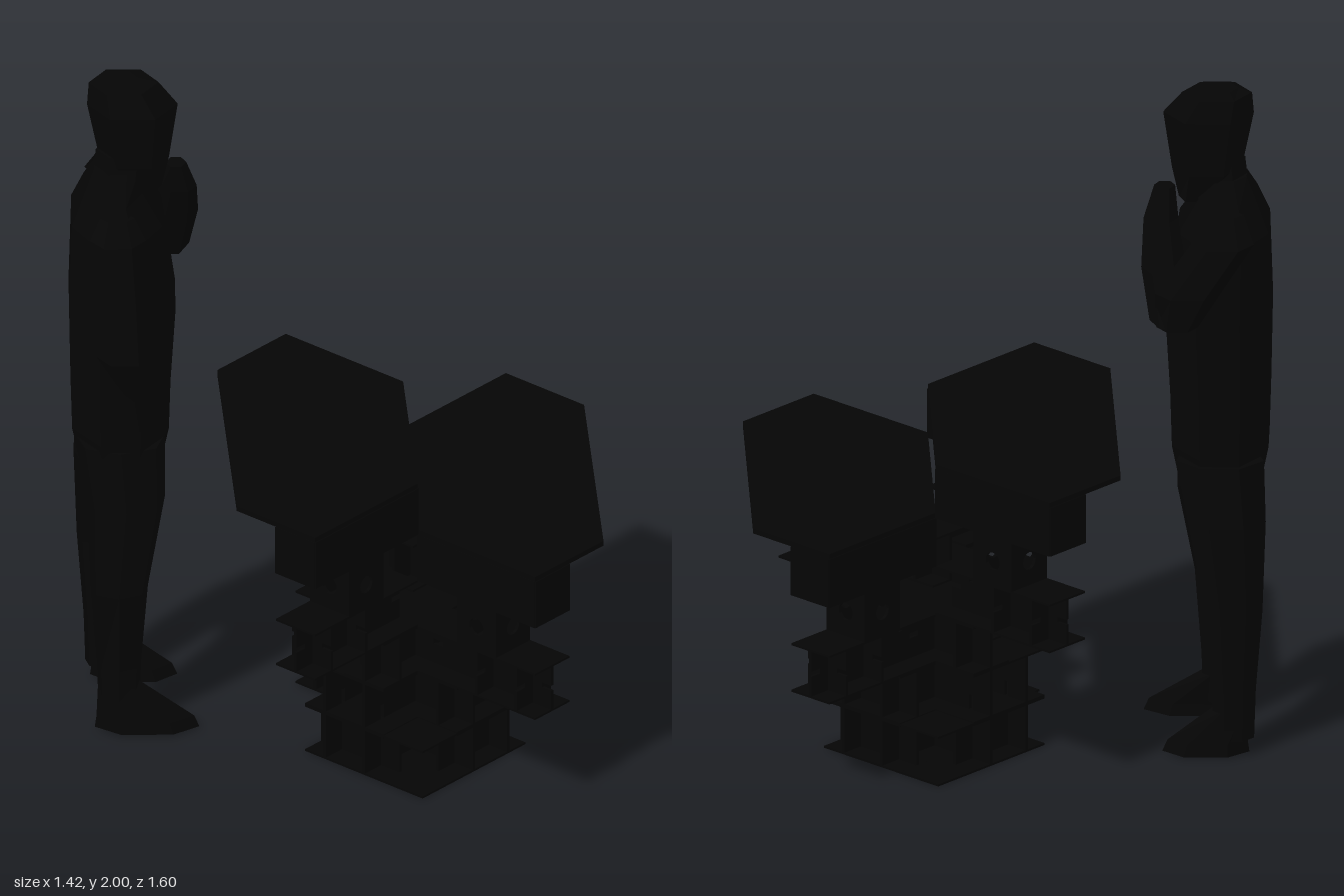
import * as THREE from 'three';

const U = 0.149, T = 0.01;             // grid cell and board thickness
const AXIS = [0.037, 0.13];            // x, z of the table's turning axis
const mat = new THREE.MeshStandardMaterial({ color: 0x050505, flatShading: true, side: THREE.DoubleSide });

function add(parent, name, geo, x = 0, y = 0, z = 0) {
  const m = new THREE.Mesh(geo, mat);
  m.name = name;
  m.position.set(x, y, z);
  parent.add(m);
  return m;
}
const box = (w, h, d) => new THREE.BoxGeometry(w, h, d);

// Upright board of one cell height, with optional end slots, notches or a round hole
function uprightBoard(len, { slots, topNotch, lowNotch, hole } = {}) {
  const h = U / 2, s = new THREE.Shape(), g = 0.008, d = 0.035;
  const p = [[0, -h]];
  if (lowNotch) p.push([lowNotch - g, -h], [lowNotch - g, -h + 0.05], [lowNotch + g, -h + 0.05], [lowNotch + g, -h]);
  p.push([len, -h]);
  if (slots) p.push([len, -g], [len - d, -g], [len - d, g], [len, g]);
  p.push([len, h]);
  if (topNotch) p.push([topNotch + g, h], [topNotch + g, h - 0.05], [topNotch - g, h - 0.05], [topNotch - g, h]);
  p.push([0, h]);
  if (slots) p.push([0, g], [d, g], [d, -g], [0, -g]);
  s.setFromPoints(p.map(q => new THREE.Vector2(...q)));
  if (hole) s.holes.push(new THREE.Path().absarc(len / 2, 0, 0.027, 0, Math.PI * 2, true));
  const geo = new THREE.ExtrudeGeometry(s, { depth: T, bevelEnabled: false, curveSegments: 8 });
  return geo.translate(0, 0, -T / 2);
}

// Beam running outward from cell a to cell b: crossed boards between a bottom and a top plate
function beam(parent, name, angle, row, a, b, level, opt = {}) {
  const g = new THREE.Group();
  g.name = name;
  g.rotation.y = angle;
  parent.add(g);
  const x0 = (a - 0.5) * U, len = (b - a + 1) * U, y = (level + 0.5) * U, z = row * U;
  add(g, 'longBoard', uprightBoard(len, opt), x0, y, z);
  if (!opt.noPlate) for (const s of [-1, 1])
    add(g, 'plate', box(len, 0.006, U), x0 + len / 2, y + s * (U / 2 - 0.003), z);
  for (let i = a; i <= b; i++) {
    if ((opt.topNotch && i === a) || (opt.lowNotch && i === b)) continue;
    add(g, 'crossBoard', uprightBoard(U, { slots: opt.slots }).rotateY(Math.PI / 2), i * U, y, z + U / 2);
  }
}

// Each side has two arms, mirrored across the short diagonal
const ARMS = [[Math.PI, -1], [Math.PI / 2, 1]];

// Hollow square post with a round opening in each wall
function post(parent, x, z, level) {
  const g = new THREE.Group();
  g.name = 'post';
  g.position.set(x * U, (level + 0.5) * U, z * U);
  for (let i = 0; i < 4; i++)
    add(g, 'wall', uprightBoard(U, { hole: true }).translate(-U / 2, 0, U / 2 - T / 2)).rotation.y = i * Math.PI / 2;
  parent.add(g);
}

// Tabletop with partial skirts, bracket beams and posts
function tableUnit() {
  const g = new THREE.Group();
  const hex = [[-4.5, -0.5], [-0.5, -4.5], [1.5, -4.5], [1.5, -1.5], [-1.5, 1.5], [-4.5, 1.5]];
  const shape = new THREE.Shape(hex.map(([x, z]) => new THREE.Vector2(x * U, -z * U)));
  add(g, 'tabletop', new THREE.ExtrudeGeometry(shape, { depth: 0.015, bevelEnabled: false }).rotateX(-Math.PI / 2), 0, 6 * U);
  const skirts = [
    [[-4.5, 0.5], [-4.5, 1.5], [-1.5, 1.5], [-1.5, 0.5]],
    [[0.5, -1.5], [1.5, -1.5], [1.5, -4.5], [0.5, -4.5]]];
  for (const path of skirts) for (let i = 0; i < 3; i++) {
    const [[ax, az], [bx, bz]] = [path[i], path[i + 1]];
    const geo = box((Math.abs(bx - ax) || 0.04) * U, U, (Math.abs(bz - az) || 0.04) * U);
    add(g, 'skirt', geo, (ax + bx) / 2 * U, 5.5 * U, (az + bz) / 2 * U);
  }
  for (const [angle, row] of ARMS) {
    beam(g, 'topBeam', angle, row, 2, 4, 5, { noPlate: true });
    beam(g, 'bracketBeam', angle, row, 2, 4, 3, { slots: true, topNotch: U / 2 });
  }
  post(g, -3, 1, 4);
  post(g, 1, -3, 4);
  return g;
}

// Half of the stacked base
function baseHalf(lowNotch) {
  const g = new THREE.Group();
  for (const [angle, row] of ARMS) {
    for (const r of [0, row]) {
      beam(g, 'footBeam', angle, r, 0, 2, 0);
      beam(g, 'middleBeam', angle, r, 0, 2, 1, { lowNotch });
      beam(g, 'upperBeam', angle, r, 0, 1, 2);
    }
  }
  for (const y of [0.02, 1]) add(g, 'cornerPlate', box(U, 0.006, U), -2 * U, y * U, 2 * U);
  return g;
}

// Faceted body from rings [x, y, z, radiusX, radiusZ], listed upward
function loft(rings, n = 7) {
  const all = [[...rings[0].slice(0, 3), 0, 0], ...rings, [...rings.at(-1).slice(0, 3), 0, 0]];
  const pos = [], idx = [];
  all.forEach(([x, y, z, rx, rz], j) => {
    for (let i = 0; i < n; i++) {
      const t = (i + 0.5) / n * Math.PI * 2;
      pos.push(x + rx * Math.cos(t), y, z + rz * Math.sin(t));
      if (j < all.length - 1) {
        const a = j * n + i, b = j * n + (i + 1) % n;
        idx.push(a, a + n, b, b, a + n, b + n);
      }
    }
  });
  const geo = new THREE.BufferGeometry();
  geo.setAttribute('position', new THREE.Float32BufferAttribute(pos, 3));
  geo.setIndex(idx);
  const flat = geo.toNonIndexed();
  flat.computeVertexNormals();
  return flat;
}

// Standing figure with one hand at the chin
function figure() {
  const g = new THREE.Group();
  g.name = 'standingFigure';
  g.position.set(-0.43, 0, -0.54);
  g.rotation.y = 0.73;
  add(g, 'head', loft([[0.01, 1.66, 0.06, 0.055, 0.04], [0.01, 1.75, 0.02, 0.09, 0.1], [0.01, 1.92, 0.015, 0.115, 0.13],
    [0.02, 1.985, -0.01, 0.09, 0.1], [0.02, 2, -0.02, 0.05, 0.05]], 6));
  add(g, 'neck', loft([[0, 1.6, -0.03, 0.1, 0.08], [0, 1.78, -0.01, 0.07, 0.08]], 6));
  add(g, 'torso', loft([[0.005, 0.78, -0.02, 0.19, 0.12], [0, 0.92, -0.02, 0.22, 0.15], [-0.005, 1.08, -0.02, 0.235, 0.155],
    [-0.02, 1.32, -0.015, 0.255, 0.165], [0, 1.58, -0.03, 0.26, 0.14], [0, 1.67, -0.04, 0.18, 0.09], [0, 1.73, -0.03, 0.08, 0.07]], 8));
  add(g, 'rightArm', loft([[-0.18, 0.98, 0.06, 0.05, 0.055], [-0.215, 1.1, 0.05, 0.06, 0.065], [-0.275, 1.25, -0.01, 0.068, 0.08],
    [-0.255, 1.42, -0.02, 0.07, 0.085], [-0.225, 1.6, -0.03, 0.06, 0.08], [-0.18, 1.65, -0.03, 0.03, 0.05]], 6));
  add(g, 'leftUpperArm', loft([[0.25, 1.35, 0.1, 0.05, 0.06], [0.265, 1.46, 0.07, 0.07, 0.095],
    [0.235, 1.6, -0.03, 0.07, 0.09], [0.18, 1.67, -0.03, 0.04, 0.06]], 6));
  add(g, 'leftForearm', loft([[0.22, 1.36, 0.12, 0.08, 0.06], [0.16, 1.5, 0.14, 0.075, 0.065],
    [0.08, 1.62, 0.15, 0.05, 0.05], [0.05, 1.71, 0.14, 0.035, 0.03]], 6));
  const legs = [['right', -0.155, -0.025, -0.17, -0.11, -0.18, 0.15], ['left', 0.14, -0.06, 0.16, 0.125, 0.145, 0.125]];
  for (const [side, x, z, knee, hip, toe, length] of legs) {
    add(g, side + 'Leg', loft([[x, 0.05, z, 0.05, 0.06], [x, 0.2, z, 0.06, 0.065], [knee, 0.45, z, 0.075, 0.085],
      [(knee + hip) / 2, 0.72, z + 0.02, 0.1, 0.115], [hip, 0.9, -0.02, 0.1, 0.13]], 7));
    add(g, side + 'Foot', loft([[toe, 0.005, z + 0.08, 0.06, length], [toe, 0.04, z + 0.075, 0.055, length - 0.01], [x, 0.14, z, 0.045, 0.06]], 6));
  }
  return g;
}

export function createModel() {
  const root = new THREE.Group();
  root.name = 'tableWithFigure';
  const table = new THREE.Group();
  table.name = 'twinTable';
  table.position.set(AXIS[0], 0, AXIS[1]);
  // The two halves are turned half a circle, the lower one a level down
  for (const k of [0, 1]) {
    const unit = tableUnit(), base = baseHalf(k ? 0 : 2.5 * U);
    unit.name = k ? 'lowerTable' : 'upperTable';
    base.name = k ? 'frontBase' : 'backBase';
    unit.rotation.y = base.rotation.y = k * Math.PI;
    unit.position.y = -k * U;
    table.add(unit, base);
  }
  for (const [angle, row] of ARMS) beam(table, 'upperSupport', angle, row, 2, 2, 2);
  beam(table, 'centreBlock', 0, 0, 0, 0, 3);
  root.add(table, figure());
  return root;
}
